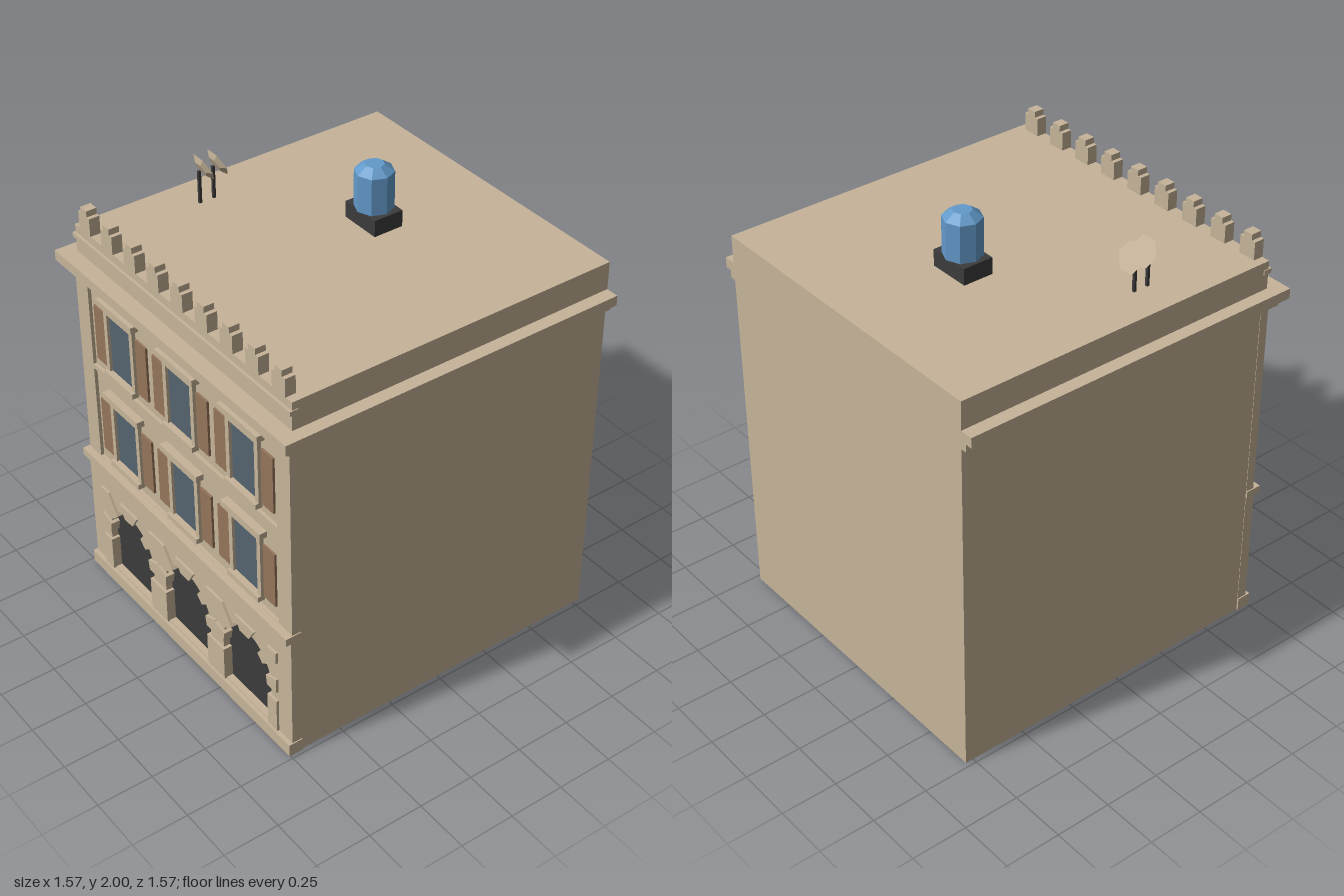
import * as THREE from 'three';

const mat = (name, color) => {
  const m = new THREE.MeshStandardMaterial({ color });
  m.name = name;
  return m;
};

export function createModel() {
  const model = new THREE.Group();
  model.name = 'building';
  const stone = mat('stone', 0xc6b499);
  const dark = mat('darkGrey', 0x3c3c3c);
  const glass = mat('windowGlass', 0x55646e);
  const wood = mat('shutterWood', 0x94745a);
  const blue = mat('tankBlue', 0x639aca);

  const add = (parent, name, geo, material) => {
    const mesh = new THREE.Mesh(geo, material);
    mesh.name = name;
    parent.add(mesh);
    return mesh;
  };
  // Box given by its lower and upper limits
  const box = (parent, name, x0, x1, y0, y1, z0, z1, material = stone) => {
    const mesh = add(parent, name, new THREE.BoxGeometry(x1 - x0, y1 - y0, z1 - z0), material);
    mesh.position.set((x0 + x1) / 2, (y0 + y1) / 2, (z0 + z1) / 2);
    return mesh;
  };
  const group = (name, x = 0, y = 0, z = 0) => {
    const g = new THREE.Group();
    g.name = name;
    g.position.set(x, y, z);
    model.add(g);
    return g;
  };
  const extrude = (parent, name, shape, z0, z1) => {
    const geo = new THREE.ExtrudeGeometry(shape, { depth: z1 - z0, bevelEnabled: false, curveSegments: 16 });
    geo.translate(0, 0, z0);
    return add(parent, name, geo, stone);
  };
  const polygon = pts => new THREE.Shape(pts.map(p => new THREE.Vector2(p[0], p[1])));
  const rect = (x0, x1, y0, y1) => polygon([[x0, y0], [x1, y0], [x1, y1], [x0, y1]]);

  const bays = [-0.425, 0, 0.425];
  const archY = 0.27, archR = 0.167;

  // Main block with full-depth cornices
  box(model, 'mainBlock', -0.728, 0.728, 0, 1.735, -0.785, 0.70);
  box(model, 'lowerCornice', -0.755, 0.755, 1.53, 1.565, -0.785, 0.757);
  box(model, 'upperCornice', -0.785, 0.785, 1.565, 1.61, -0.785, 0.785);

  // Parapet and its moulding
  box(model, 'parapet', -0.728, 0.728, 1.61, 1.735, 0.70, 0.715);
  box(model, 'parapetMoulding', -0.732, 0.732, 1.68, 1.70, 0.69, 0.727);

  // Stepped merlons
  for (let i = 0; i < 9; i++) {
    const g = group('merlon', -0.65 + i * 0.1625);
    box(g, 'merlonBase', -0.04, 0.04, 1.735, 1.815, 0.67, 0.717);
    box(g, 'merlonCap', -0.022, 0.022, 1.815, 1.842, 0.67, 0.717);
  }

  // Ground floor wall with three arched openings
  const ground = rect(-0.73, 0.73, 0.06, 0.60);
  for (const x of bays) {
    const hole = new THREE.Path();
    hole.moveTo(x - archR, 0.065);
    hole.lineTo(x + archR, 0.065);
    hole.lineTo(x + archR, archY);
    hole.absarc(x, archY, archR, 0, Math.PI, false);
    hole.lineTo(x - archR, 0.065);
    ground.holes.push(hole);
  }
  extrude(model, 'groundFloorWall', ground, 0.69, 0.736);
  box(model, 'plinth', -0.735, 0.735, 0, 0.06, 0.69, 0.755);
  box(model, 'floorBand', -0.735, 0.735, 0.60, 0.635, 0.69, 0.763);

  // Dark infill, jambs and arch stones for each bay
  const ray = (deg, r) => {
    const a = deg * Math.PI / 180;
    return [Math.cos(a) * r, archY + Math.sin(a) * r];
  };
  const onSide = deg => [0.215, archY + 0.215 * Math.tan(deg * Math.PI / 180)];
  const sideStones = [
    [ray(0, 0.152), onSide(0), onSide(18), ray(18, 0.152)],
    [ray(36, 0.152), onSide(36), [0.215, 0.48], [0.155, 0.48], ray(54, 0.152)],
  ];
  for (const x of bays) {
    const g = group('archway', x);
    box(g, 'archInfill', -0.18, 0.18, 0.06, 0.45, 0.699, 0.706, dark);
    for (const s of [-1, 1]) {
      box(g, 'jamb', s * 0.184 - 0.031, s * 0.184 + 0.031, 0.06, 0.222, 0.70, 0.747);
      for (const stonePts of sideStones) {
        extrude(g, 'archStone', polygon(stonePts.map(p => [p[0] * s, p[1]])), 0.70, 0.747);
      }
    }
    extrude(g, 'keystone', polygon([[-0.03, 0.42], [0.03, 0.42], [0.067, 0.48], [-0.067, 0.48]]), 0.70, 0.747);
  }

  // Upper facade: raised border around two recessed panels
  const upper = rect(-0.73, 0.73, 0.635, 1.53);
  upper.holes.push(rect(-0.643, 0.643, 0.637, 1.09), rect(-0.643, 0.643, 1.112, 1.528));
  extrude(model, 'facadeBorder', upper, 0.69, 0.73);
  box(model, 'facadePanel', -0.66, 0.66, 0.62, 1.54, 0.69, 0.715);

  // Shuttered windows
  for (const y of [0, 0.462]) {
    for (const x of bays) {
      const g = group('window', x, y);
      box(g, 'glass', -0.082, 0.082, 0.692, 0.967, 0.714, 0.719, glass);
      box(g, 'lintel', -0.13, 0.13, 1.0, 1.028, 0.71, 0.75);
      box(g, 'frameHead', -0.105, 0.105, 0.967, 1.0, 0.71, 0.732);
      box(g, 'sill', -0.105, 0.105, 0.668, 0.692, 0.71, 0.747);
      for (const s of [-1, 1]) {
        box(g, 'frameSide', s * 0.0935 - 0.0115, s * 0.0935 + 0.0115, 0.692, 0.967, 0.71, 0.732);
        box(g, 'shutter', s * 0.152 - 0.038, s * 0.152 + 0.038, 0.695, 0.955, 0.71, 0.725, wood);
      }
    }
  }

  // Roof water tank
  const tank = group('waterTank', -0.042, 0, -0.238);
  box(tank, 'tankBase', -0.094, 0.094, 1.735, 1.808, -0.068, 0.068, dark);
  add(tank, 'tankBody', new THREE.CylinderGeometry(0.081, 0.081, 0.162, 8).toNonIndexed(), blue).position.y = 1.889;
  add(tank, 'tankCap', new THREE.CylinderGeometry(0.04, 0.081, 0.03, 8).toNonIndexed(), blue).position.y = 1.985;
  for (const part of tank.children.slice(1)) part.geometry.computeVertexNormals();

  // Two tilted six-sided dishes on poles
  const dishGeo = new THREE.CylinderGeometry(0.066, 0.035, 0.016, 6).toNonIndexed();
  dishGeo.rotateY(Math.PI / 2);
  dishGeo.rotateX(-1.12);
  dishGeo.computeVertexNormals();
  for (const z of [0.165, 0.231]) {
    const g = group('satelliteDish', -0.567, 0, z);
    box(g, 'dishPole', -0.006, 0.006, 1.735, 1.88, -0.006, 0.006, dark);
    add(g, 'dish', dishGeo, stone).position.set(0, 1.888, -0.016);
  }

  return model;
}
